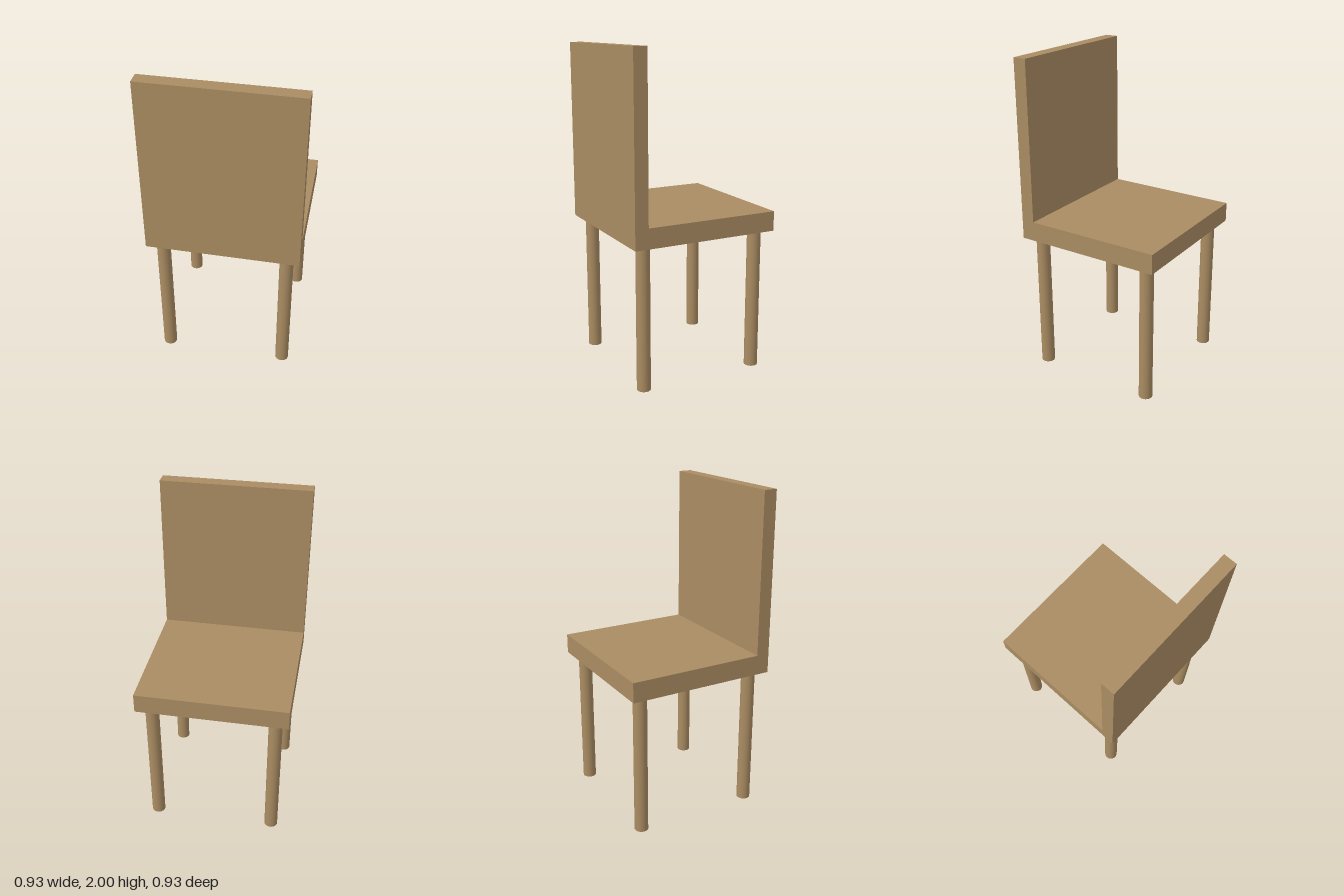
import * as THREE from 'three';

export function createModel() {
  const model = new THREE.Group();
  model.name = 'chair';
  const wood = new THREE.MeshStandardMaterial({ color: 0xaa8c62 });
  wood.name = 'light brown wood';

  const half = 0.463, seatBottom = 0.888, seatTop = 1.01, backFace = 0.38, height = 2;

  // Seat and backrest: one L-shaped side profile (z, y) swept across the width
  const profile = new THREE.Shape([
    [-half, seatBottom], [half, seatBottom], [half, height],
    [backFace, height], [backFace, seatTop], [-half, seatTop],
  ].map(([z, y]) => new THREE.Vector2(z, y)));
  const body = new THREE.ExtrudeGeometry(profile, { depth: half * 2, bevelEnabled: false });
  body.translate(0, 0, -half).rotateY(-Math.PI / 2);
  const seat = new THREE.Mesh(body, wood);
  seat.name = 'seatAndBackrest';
  model.add(seat);

  // Four round legs
  const legGeometry = new THREE.CylinderGeometry(0.042, 0.042, seatBottom, 32);
  for (const [zSide, zName] of [[1, 'backrest'], [-1, 'open']]) {
    for (const [xSide, xName] of [[1, 'Left'], [-1, 'Right']]) {
      const leg = new THREE.Mesh(legGeometry, wood);
      leg.name = `${zName}Side${xName}Leg`;
      leg.position.set(xSide * 0.378, seatBottom / 2, zSide * 0.378);
      model.add(leg);
    }
  }
  return model;
}
